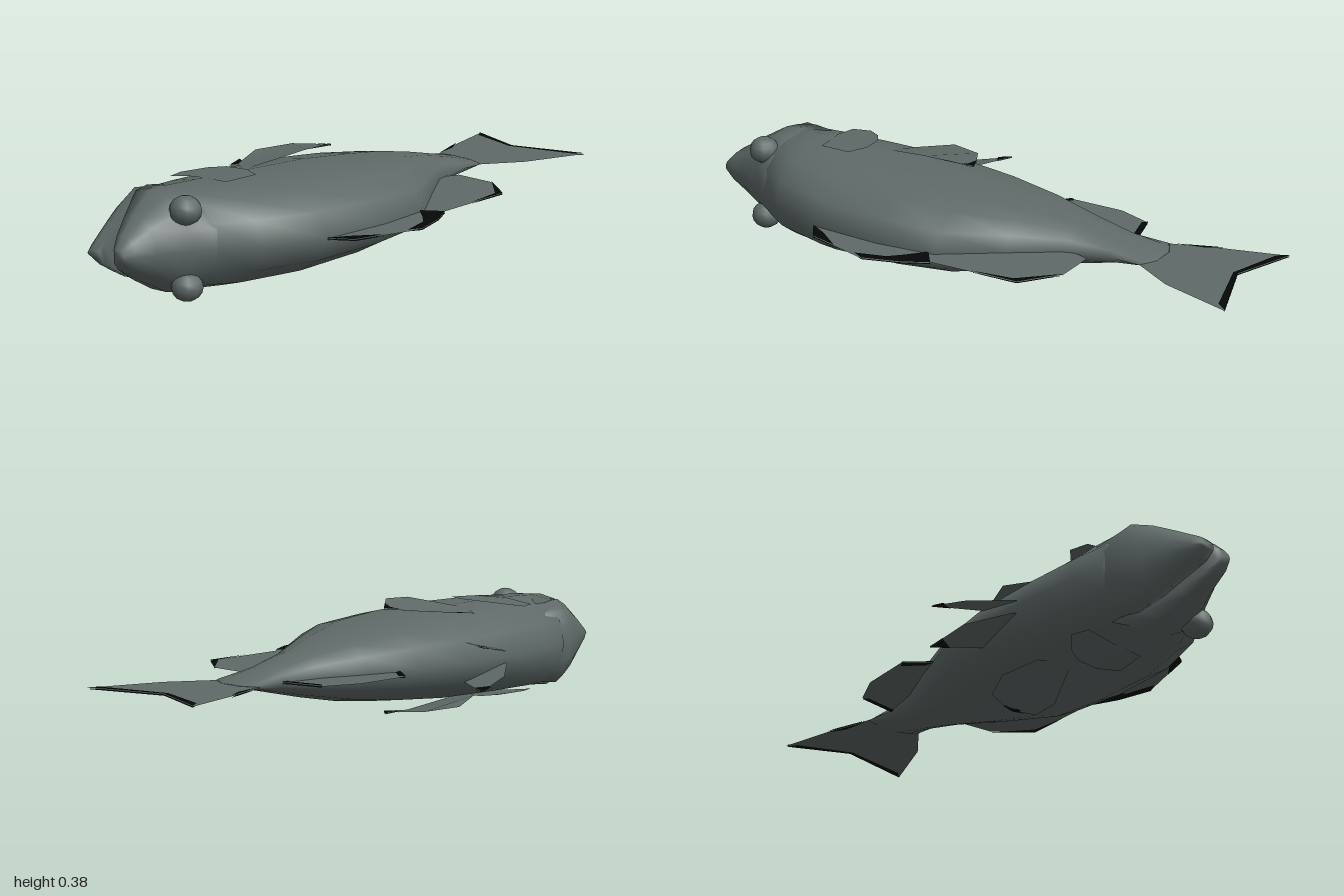
import * as THREE from 'three';

const MID = 0.195; // height of the fish's plane of symmetry

// Half cross-sections as [position from belly to back, relative thickness]
const ROUND = [[-1, 0], [-0.9, 0.5], [-0.65, 0.85], [-0.2, 1], [0.3, 0.96], [0.6, 0.81], [0.88, 0.49], [1, 0]];
const LOWER = [[-1, 0], [-0.85, 0.42], [-0.4, 0.75], [0.3, 0.97], [1, 0.93]];
const UPPER = [[-1, 0.93], [-0.5, 1], [0.1, 0.97], [0.6, 0.72], [0.9, 0.4], [1, 0]];

// Skin over sections [z, xMin, xMax, halfThickness], closed at both ends
function loft(sections, profile) {
  const pos = [], idx = [];
  const upper = profile.map(([u, t]) => [u, t]);
  const lower = profile.filter(([, t]) => t > 0).reverse().map(([u, t]) => [u, -t]);
  const ring = [...upper, ...lower], n = ring.length;
  for (const [z, x0, x1, h] of sections)
    for (const [u, t] of ring) pos.push((x0 + x1) / 2 + u * (x1 - x0) / 2, MID + t * h, z);
  for (let i = 0; i < sections.length - 1; i++)
    for (let j = 0; j < n; j++) {
      const a = i * n + j, b = i * n + (j + 1) % n;
      idx.push(a, a + n, b, b, a + n, b + n);
    }
  for (const end of [0, sections.length - 1]) {
    const [z, x0, x1] = sections[end], c = pos.length / 3;
    pos.push((x0 + x1) / 2, MID, z);
    for (let j = 0; j < n; j++) {
      const a = end * n + j, b = end * n + (j + 1) % n;
      if (end) idx.push(c, b, a); else idx.push(c, a, b);
    }
  }
  const g = new THREE.BufferGeometry();
  g.setAttribute('position', new THREE.Float32BufferAttribute(pos, 3));
  g.setIndex(idx);
  g.computeVertexNormals();
  return g;
}

// Thin sheet from an outline of [x, z, offset from the middle plane]
function sheet(pts, side = 1, lift = 0) {
  const tris = THREE.ShapeUtils.triangulateShape(pts.map(([x, z]) => new THREE.Vector2(x, z)), []);
  const g = new THREE.BufferGeometry();
  g.setAttribute('position', new THREE.Float32BufferAttribute(
    pts.flatMap(([x, z, y = 0]) => [x, MID + side * y + lift, z]), 3));
  // wind every triangle so that it faces up
  g.setIndex(tris.flatMap(([a, b, c]) => {
    const [p, q, r] = [pts[a], pts[b], pts[c]];
    const area = (q[0] - p[0]) * (r[1] - p[1]) - (q[1] - p[1]) * (r[0] - p[0]);
    return area < 0 ? [a, b, c] : [a, c, b];
  }));
  g.computeVertexNormals();
  return g;
}

export function createModel() {
  const fish = new THREE.Group();
  const skin = new THREE.MeshStandardMaterial({ name: 'greyGreenSkin', color: 0x5f6a68 });
  const finMat = new THREE.MeshStandardMaterial({ name: 'greyGreenFin', color: 0x5f6a68, side: THREE.DoubleSide });
  const dark = new THREE.MeshStandardMaterial({ name: 'blackFinEdge', color: 0x060808, side: THREE.DoubleSide });
  const add = (name, geometry, material) => {
    const m = new THREE.Mesh(geometry, material);
    m.name = name;
    fish.add(m);
    return m;
  };

  // Body, from tail root to the back of the mouth
  add('body', loft([
    [-0.66, -0.14, -0.06, 0.002], [-0.63, -0.2, 0, 0.012], [-0.52, -0.18, 0, 0.038],
    [-0.38, -0.2, 0.04, 0.07], [-0.23, -0.25, 0.145, 0.1], [-0.05, -0.3, 0.275, 0.125],
    [0.15, -0.315, 0.298, 0.143], [0.4, -0.297, 0.29, 0.153], [0.6, -0.27, 0.225, 0.157],
    [0.71, -0.245, 0.15, 0.155], [0.765, -0.2, 0.09, 0.12],
  ], ROUND), skin);

  // Jaws with the open mouth between them
  add('lowerJaw', loft([
    [0.62, -0.25, -0.13, 0.13], [0.76, -0.232, -0.135, 0.148], [0.83, -0.2, -0.115, 0.12],
    [0.9, -0.165, -0.09, 0.08], [0.97, -0.125, -0.062, 0.038], [0.995, -0.108, -0.058, 0.012],
  ], LOWER), skin);
  add('upperJaw', loft([
    [0.62, -0.17, 0.18, 0.14], [0.72, -0.16, 0.145, 0.157], [0.78, -0.14, 0.105, 0.152],
    [0.87, -0.085, 0.062, 0.1], [0.935, -0.045, 0.045, 0.055], [0.968, -0.02, 0.028, 0.022],
  ], UPPER), skin);

  // Bulging eyes and gill covers, one on each flank
  const gill = [[-0.22, 0.53, 0.142], [-0.17, 0.465, 0.153], [-0.12, 0.43, 0.159], [-0.04, 0.418, 0.161],
    [0.03, 0.445, 0.161], [0.02, 0.56, 0.157], [-0.1, 0.58, 0.157], [-0.2, 0.59, 0.143]];
  // Paired fins
  const pectoral = [[-0.07, 0.02, 0.165], [-0.02, 0.08, 0.19], [-0.02, 0.18, 0.187], [-0.1, 0.375, 0.142],
    [-0.19, 0.32, 0.135], [-0.235, 0.2, 0.154], [-0.19, 0.08, 0.162], [-0.12, 0.04, 0.165]];
  const pectoralTip = [[-0.07, 0.02, 0.166], [-0.045, 0.05, 0.178], [-0.075, 0.045, 0.168], [-0.12, 0.04, 0.166]];
  const pelvic = [[-0.43, 0.09, 0.07], [-0.28, 0.17, 0.064], [-0.28, 0.36, 0.02], [-0.305, 0.35, 0.022], [-0.4, 0.23, 0.04]];
  const pelvicTip = [[-0.43, 0.09, 0.07], [-0.375, 0.12, 0.068], [-0.42, 0.145, 0.06]];
  for (const [label, s] of [['left', -1], ['right', 1]].map(([l, v]) => [l === 'left' ? 'lower' : 'upper', v])) {
    const eye = add(label + 'Eye', new THREE.SphereGeometry(1, 10, 8), skin);
    eye.scale.set(0.05, 0.045, 0.05);
    eye.position.set(0.068, MID + s * 0.117, 0.765);
    add(label + 'GillCover', sheet(gill, s), finMat);
    add(label + 'PectoralFin', sheet(pectoral, s), finMat);
    add(label + 'PelvicFin', sheet(pelvic, s), finMat);
    for (const lift of [-0.002, 0.002]) {
      add(label + 'PectoralFinTip', sheet(pectoralTip, s, lift), dark);
      add(label + 'PelvicFinTip', sheet(pelvicTip, s, lift), dark);
    }
  }

  // Fins on the middle plane
  const fins = {
    tailFin: [[-0.2, -0.63], [-0.25, -0.765], [-0.315, -0.99], [-0.1, -0.915], [0.16, -1], [0.085, -0.765], [0, -0.63], [-0.1, -0.6]],
    analFin: [[-0.16, -0.53], [-0.18, -0.525], [-0.315, -0.49], [-0.36, -0.37], [-0.36, -0.18], [-0.28, -0.12], [-0.18, -0.3]],
    rearDorsalFin: [[0.02, -0.4], [0.045, -0.47], [0.19, -0.47], [0.315, -0.38], [0.33, -0.07], [0.27, -0.03], [0.1, -0.25]],
    frontDorsalFin: [[0.26, -0.03], [0.335, -0.08], [0.38, 0], [0.42, 0.12], [0.36, 0.35], [0.29, 0.4], [0.27, 0.2]],
  };
  for (const [name, pts] of Object.entries(fins)) add(name, sheet(pts), finMat);

  // Dark ragged edges on those fins
  const edges = {
    tailEdge: [[-0.315, -0.99], [-0.1, -0.915], [0.16, -1], [0.13, -0.965], [-0.1, -0.9], [-0.29, -0.955]],
    tailSideEdge: [[-0.25, -0.765], [-0.262, -0.8], [-0.225, -0.74], [-0.205, -0.65]],
    analEdge: [[-0.18, -0.525], [-0.315, -0.49], [-0.3, -0.475], [-0.18, -0.505]],
    analFrontEdge: [[-0.36, -0.18], [-0.28, -0.12], [-0.29, -0.15], [-0.35, -0.2]],
    rearDorsalEdge: [[0.19, -0.47], [0.315, -0.38], [0.32, -0.22], [0.3, -0.36]],
    frontDorsalRearEdge: [[0.27, -0.03], [0.335, -0.08], [0.38, 0], [0.42, 0.12], [0.4, 0.16], [0.37, 0.06], [0.33, 0.02]],
    frontDorsalFrontEdge: [[0.385, 0.25], [0.36, 0.35], [0.29, 0.4], [0.32, 0.34]],
  };
  for (const [name, pts] of Object.entries(edges))
    for (const lift of [-0.003, 0.003]) add(name, sheet(pts, 1, lift), dark);

  return fish;
}
